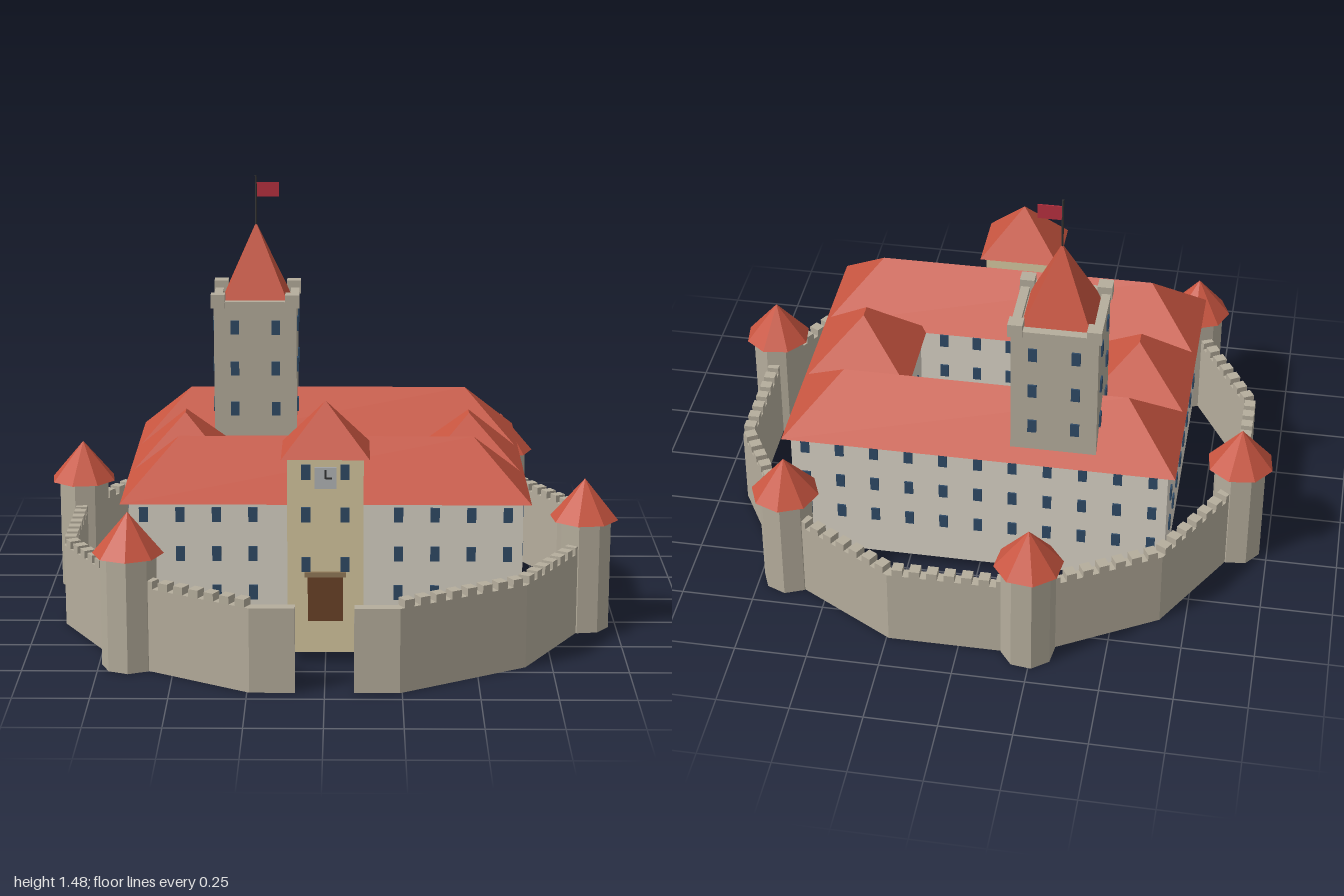
import * as THREE from 'three';

const mat = (color, side = THREE.FrontSide) => new THREE.MeshStandardMaterial({ color, side, flatShading: true });
const STONE = mat(0xb5ad9c), PLASTER = mat(0xd8d2c5), ROOF = mat(0xc85540), YELLOW = mat(0xd6c8a0);
const GLASS = mat(0x2f4a66), WOOD = mat(0x6b4228), TRIM = mat(0x927a58), COURT = mat(0xcfc3b0);
const SILVER = mat(0xb4b6b8), IRON = mat(0x333333), FLAG = mat(0xb8303f, THREE.DoubleSide);

export function createModel() {
  const root = new THREE.Group();

  const add = (name, geometry, material, parent = root) => {
    const mesh = new THREE.Mesh(geometry, material);
    mesh.name = name;
    parent.add(mesh);
    return mesh;
  };
  const group = (name) => {
    const g = new THREE.Group();
    g.name = name;
    root.add(g);
    return g;
  };
  // box given by its limits on each axis
  const box = (name, [x0, x1], [y0, y1], [z0, z1], material, parent) => {
    const mesh = add(name, new THREE.BoxGeometry(x1 - x0, y1 - y0, z1 - z0), material, parent);
    mesh.position.set((x0 + x1) / 2, (y0 + y1) / 2, (z0 + z1) / 2);
    return mesh;
  };
  // hipped roof: half sizes hx, hz at the eaves, rx, rz at the ridge
  const hipRoof = (name, x, z, y0, y1, hx, hz, rx, rz, parent) => {
    const pts = [];
    for (const [y, a, b] of [[y0, hx, hz], [y1, rx, rz]])
      pts.push(-a, y, b, a, y, b, a, y, -b, -a, y, -b);
    const idx = [0, 3, 2, 0, 2, 1];
    for (let i = 0; i < 4; i++) {
      const j = (i + 1) % 4;
      idx.push(i, j, j + 4, i, j + 4, i + 4);
    }
    const g = new THREE.BufferGeometry();
    g.setAttribute('position', new THREE.Float32BufferAttribute(pts, 3));
    g.setIndex(idx);
    const flat = g.toNonIndexed();
    flat.computeVertexNormals();
    const mesh = add(name, flat, ROOF, parent);
    mesh.position.set(x, 0, z);
  };
  const pane = new THREE.BoxGeometry(0.03, 0.05, 0.012);
  const paneAt = (x, y, z, turned, parent) => {
    const w = add('window', pane, GLASS, parent);
    w.position.set(x, y, z);
    if (turned) w.rotation.y = Math.PI / 2;
  };

  // ---- twelve-sided curtain wall, open at the gate
  const R = 0.915, CZ = 0.04, T = 0.02, GAP = 0.095, WALL = 0.285;
  const ringAngle = (k) => THREE.MathUtils.degToRad(15 + 30 * k);
  const ringPoint = (k, r = R) => [r * Math.sin(ringAngle(k)), CZ + r * Math.cos(ringAngle(k))];
  const edge = (d) => {
    const r = R + d / Math.cos(Math.PI / 12), front = ringPoint(0, r)[1];
    const pts = [[GAP, front]];
    for (let k = 0; k < 12; k++) pts.push(ringPoint(k, r));
    return [...pts, [-GAP, front]];
  };
  const outline = [...edge(T), ...edge(-T).reverse()].map(([x, z]) => new THREE.Vector2(x, -z));
  const wallGeo = new THREE.ExtrudeGeometry(new THREE.Shape(outline), { depth: WALL, bevelEnabled: false });
  add('curtainWall', wallGeo.rotateX(-Math.PI / 2), STONE);

  // merlons along every side but the gate side
  const merlons = group('merlons'), PER_SIDE = 8;
  const merlonGeo = new THREE.BoxGeometry(0.036, 0.026, 2 * T);
  for (let k = 0; k < 11; k++) {
    const [ax, az] = ringPoint(k), [bx, bz] = ringPoint(k + 1);
    for (let i = 0; i < PER_SIDE; i++) {
      const t = (i + 0.5) / PER_SIDE;
      const m = add('merlon', merlonGeo, STONE, merlons);
      m.position.set(ax + (bx - ax) * t, WALL + 0.013, az + (bz - az) * t);
      m.rotation.y = Math.atan2(az - bz, bx - ax);
    }
  }

  // ---- eight-sided wall towers on every second corner
  for (const k of [2, 4, 6, 8, 10]) {
    const tower = group('wallTower'), [x, z] = ringPoint(k);
    tower.position.set(x, 0, z);
    const prism = (name, top, bottom, y0, y1, material) => {
      const g = new THREE.CylinderGeometry(top, bottom, y1 - y0, 8, 1, false, ringAngle(k));
      add(name, g, material, tower).position.y = (y0 + y1) / 2;
    };
    prism('towerShaft', 0.093, 0.093, 0, 0.4, STONE);
    prism('towerRoof', 0, 0.118, 0.388, 0.528, ROOF);
  }

  // ---- palace: four wings around a courtyard
  const palace = group('palace'), BASE = 0.04, EAVE = 0.52, RIDGE = 0.705;
  const X = 0.655, Z0 = -0.467, Z1 = 0.555, CX = 0.33, C0 = -0.14, C1 = 0.22;
  box('frontWing', [-X, X], [BASE, EAVE], [C1, Z1], PLASTER, palace);
  box('backWing', [-X, X], [BASE, EAVE], [Z0, C0], PLASTER, palace);
  hipRoof('frontRoof', 0, 0.388, EAVE, RIDGE, 0.682, 0.188, 0.495, 0, palace);
  hipRoof('backRoof', 0, -0.305, EAVE, RIDGE, 0.682, 0.188, 0.495, 0, palace);
  for (const s of [-1, 1]) {
    box('sideWing', s < 0 ? [-X, -CX] : [CX, X], [BASE, EAVE], [C0, C1], PLASTER, palace);
    hipRoof('sideRoof', s * 0.494, 0.045, EAVE, RIDGE, 0.188, 0.188, 0, 0.025, palace);
  }
  box('courtyardFloor', [-CX, CX], [0.14, 0.16], [C0, C1], COURT, palace);

  // rows of windows outside and in the courtyard
  for (const y of [0.48, 0.345, 0.21]) {
    for (let i = -5; i <= 5; i++) {
      const x = i * 0.121;
      if (Math.abs(i) > 1) paneAt(x, y, Z1, false, palace);
      paneAt(x, y, Z0, false, palace);
      if (Math.abs(i) < 3) for (const z of [C0, C1]) paneAt(x, y, z, false, palace);
    }
    for (let i = 0; i < 8; i++) {
      const z = 0.48 - i * 0.118;
      for (const s of [-1, 1]) {
        paneAt(s * X, y, z, true, palace);
        if (i > 2 && i < 5) paneAt(s * CX, y, z, true, palace);
      }
    }
  }

  // ---- gatehouse
  const gate = group('gatehouse'), GZ = 0.67;
  box('gateTower', [-0.125, 0.125], [BASE, RIDGE], [0.45, GZ], YELLOW, gate);
  hipRoof('gateRoof', 0, 0.56, 0.703, 0.872, 0.145, 0.122, 0, 0, gate);
  box('door', [-0.058, 0.058], [0.15, 0.305], [GZ - 0.01, GZ + 0.007], WOOD, gate);
  box('lintel', [-0.068, 0.068], [0.303, 0.32], [GZ - 0.01, GZ + 0.012], TRIM, gate);
  box('clockFace', [-0.036, 0.036], [0.604, 0.676], [GZ - 0.01, GZ + 0.005], SILVER, gate);
  box('clockHand', [-0.003, 0.003], [0.638, 0.668], [GZ, GZ + 0.008], IRON, gate);
  box('clockHand', [0, 0.022], [0.637, 0.643], [GZ, GZ + 0.008], IRON, gate);
  for (const y of [0.66, 0.515, 0.345])
    for (const s of [-1, 1]) paneAt(s * 0.064, y, GZ, false, gate);

  // ---- square keep
  const keep = group('keep'), H = 0.147;
  keep.position.set(-0.258, 0, -0.305);
  box('keepBody', [-H, H], [BASE + 0.002, 1.03], [-H, H], STONE, keep);
  for (const s of [-1, 1]) {
    const rim = s < 0 ? [-0.153, -0.122] : [0.122, 0.153];
    box('parapet', [-0.153, 0.153], [1.028, 1.05], rim, STONE, keep);
    box('parapet', rim, [1.028, 1.05], [-0.122, 0.122], STONE, keep);
    for (const t of [-1, 1]) {
      const m = box('cornerMerlon', [-0.025, 0.025], [1.028, 1.076], [-0.025, 0.025], STONE, keep);
      m.position.x = s * 0.132;
      m.position.z = t * 0.132;
      for (const y of [0.957, 0.808, 0.66]) {
        paneAt(t * 0.073, y, s * H, false, keep);
        paneAt(s * H, y, t * 0.073, true, keep);
      }
    }
  }
  hipRoof('keepRoof', 0, 0, 1.03, 1.31, 0.12, 0.12, 0, 0, keep);
  add('flagPole', new THREE.CylinderGeometry(0.004, 0.004, 0.2, 6), IRON, keep).position.y = 1.38;
  box('flag', [0.003, 0.083], [1.403, 1.455], [-0.002, 0.002], FLAG, keep);

  return root;
}
